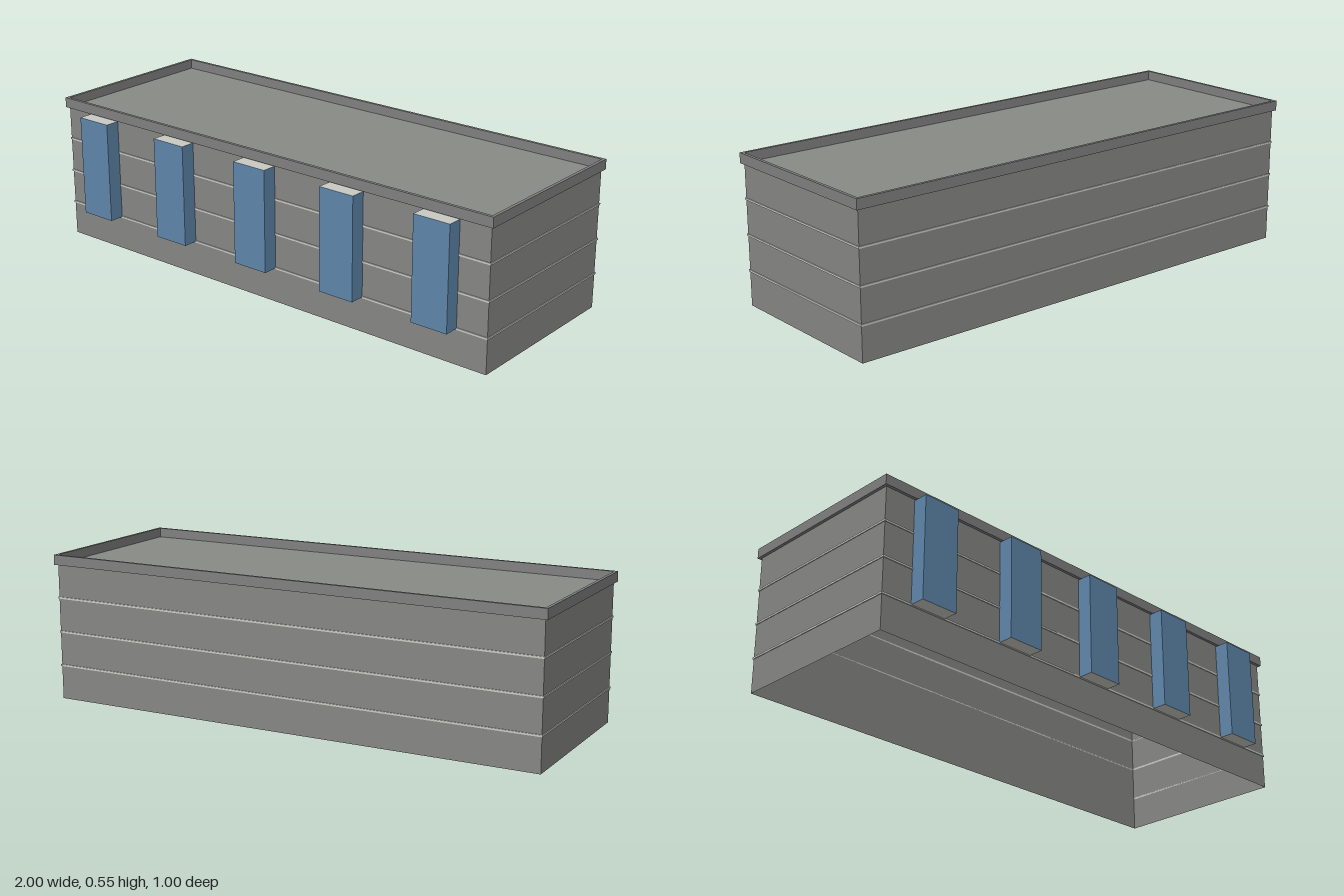
import * as THREE from 'three';

const mat = (name, color, side = THREE.FrontSide) => {
  const m = new THREE.MeshStandardMaterial({ color, side });
  m.name = name;
  return m;
};

const L = 1.895, W = 0.661, H = 0.51; // wall length, depth, height

// Rectangular ring lying flat, reaching `outer` beyond the walls and `inner` inside them
function ringGeometry(outer, inner, height) {
  const corners = (grow) => {
    const x = L / 2 + grow, y = W / 2 + grow;
    return [[-x, -y], [x, -y], [x, y], [-x, y]].map(([a, b]) => new THREE.Vector2(a, b));
  };
  const shape = new THREE.Shape(corners(outer));
  shape.holes.push(new THREE.Path(corners(-inner).reverse()));
  return new THREE.ExtrudeGeometry(shape, { depth: height, bevelEnabled: false }).rotateX(-Math.PI / 2);
}

export function createModel() {
  const wall = mat('wall grey', 0x868684, THREE.DoubleSide);
  const roofMat = mat('roof grey', 0x888a86, THREE.DoubleSide);
  const rim = mat('parapet grey', 0x808080);
  const trim = mat('pale trim', 0xcacac4);
  const glass = mat('blue glass', 0x5e86aa);

  const model = new THREE.Group();
  model.name = 'officeBuilding';
  const building = new THREE.Group();
  building.name = 'building';
  building.rotation.y = 0.158;
  building.position.z = -0.0125;
  model.add(building);

  const add = (name, geometry, material, x = 0, y = 0, z = 0) => {
    const mesh = new THREE.Mesh(geometry, material);
    mesh.name = name;
    mesh.position.set(x, y, z);
    building.add(mesh);
    return mesh;
  };

  // Four walls, open underneath
  ['frontWall', 'leftWall', 'backWall', 'rightWall'].forEach((name, i) => {
    const a = i * Math.PI / 2;
    const [width, offset] = i % 2 ? [W, L / 2] : [L, W / 2];
    add(name, new THREE.PlaneGeometry(width, H), wall,
      Math.sin(a) * offset, H / 2, Math.cos(a) * offset).rotation.y = a;
  });

  // Flat roof with a thin raised rim
  add('roof', new THREE.PlaneGeometry(L, W).rotateX(-Math.PI / 2), roofMat, 0, H, 0);
  add('parapet', ringGeometry(0.0105, 0.001, 0.037), rim, 0, 0.508, 0);

  // Thin bands marking the storeys
  for (let i = 1; i <= 3; i++) {
    add('floorBand' + i, ringGeometry(0.003, 0, 0.007), trim, 0, 0.128 * i - 0.0035, 0);
  }

  // Projecting glazed bays with pale tops and undersides
  const bay = new THREE.BoxGeometry(0.14, 0.376, 0.055);
  const bayMaterials = [glass, glass, trim, trim, glass, glass];
  for (let i = -2; i <= 2; i++) {
    add('bayWindow' + (i + 3), bay, bayMaterials, i * 0.38, 0.316, W / 2 + 0.0285);
  }
  return model;
}
